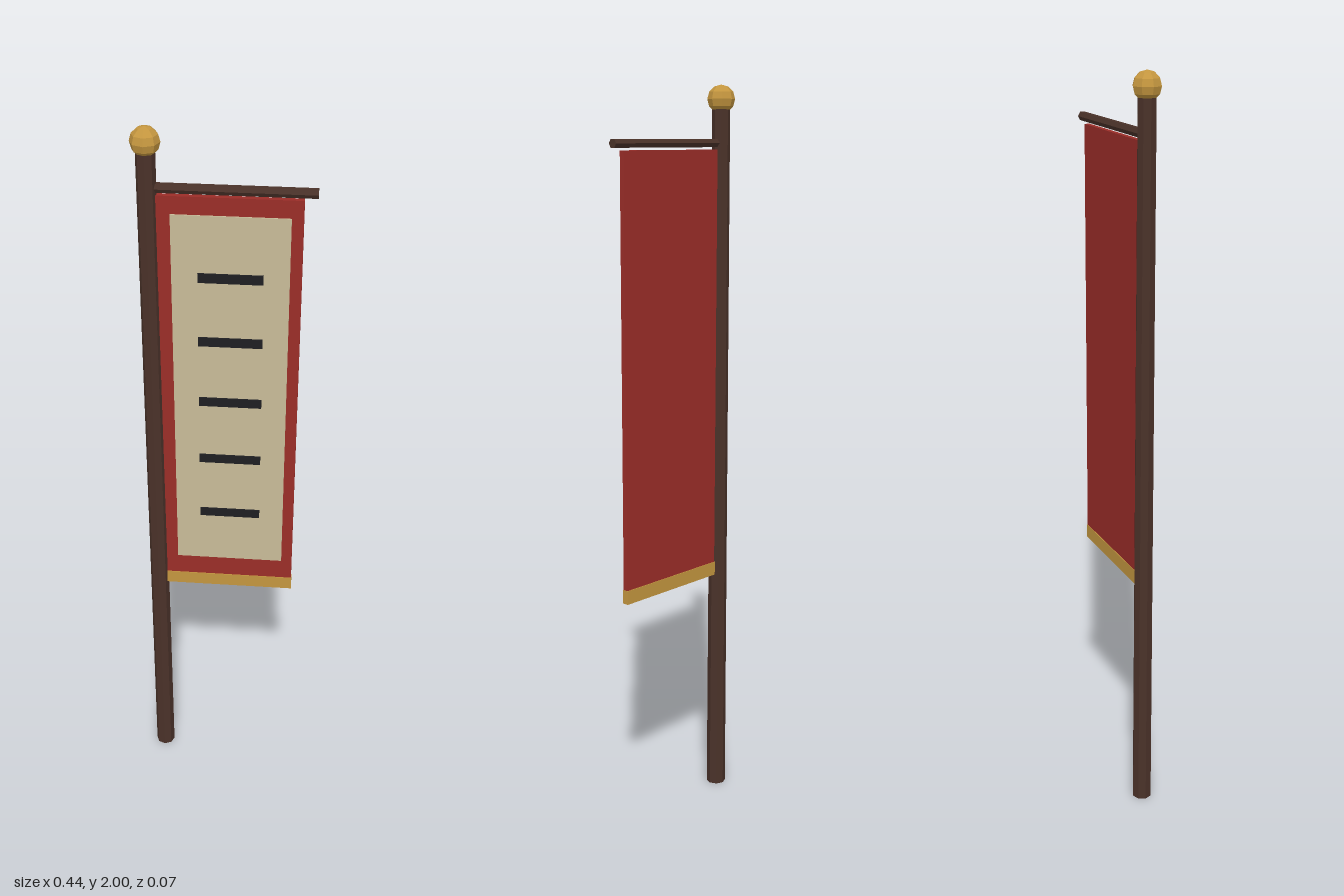
import * as THREE from 'three';

const material = (color) => new THREE.MeshStandardMaterial({ color, flatShading: true });

export function createModel() {
  const group = new THREE.Group();
  group.name = 'banner';
  const wood = material(0x4a3229);
  const red = material(0x9b2d28);
  const cream = material(0xc8bb98);
  const gold = material(0xc4963f);
  const ink = material(0x1e1e22);
  const poleX = -0.185;

  const add = (name, geometry, mat, x, y, z = 0) => {
    const mesh = new THREE.Mesh(geometry, mat);
    mesh.name = name;
    mesh.position.set(x, y, z);
    group.add(mesh);
    return mesh;
  };
  // Box given by its extents on each axis
  const slab = (name, mat, [x0, x1], [y0, y1], [z0, z1]) =>
    add(name, new THREE.BoxGeometry(x1 - x0, y1 - y0, z1 - z0), mat,
      (x0 + x1) / 2, (y0 + y1) / 2, (z0 + z1) / 2);

  // Pole with its finial, and the arm that carries the cloth
  add('pole', new THREE.CylinderGeometry(0.024, 0.027, 1.95, 8), wood, poleX, 0.975);
  add('finial', new THREE.SphereGeometry(0.037, 8, 6), gold, poleX, 1.963);
  const arm = add('crossArm', new THREE.CylinderGeometry(0.0125, 0.0125, 0.407, 6), wood, 0.0185, 1.85);
  arm.rotation.z = Math.PI / 2;

  // Cloth, its bottom trim and the pale front panel
  slab('cloth', red, [-0.165, 0.19], [0.66, 1.833], [-0.007, 0.007]);
  slab('bottomTrim', gold, [-0.166, 0.191], [0.65, 0.688], [-0.009, 0.009]);
  slab('frontPanel', cream, [-0.13, 0.161], [0.75, 1.787], [0.005, 0.0105]);

  // Row of dark stripes down the panel
  for (let i = 0; i < 5; i++) {
    const y = 0.912 + i * 0.178;
    slab('stripe', ink, [-0.065, 0.097], [y - 0.0125, y + 0.0125], [0.008, 0.0145]);
  }
  return group;
}
